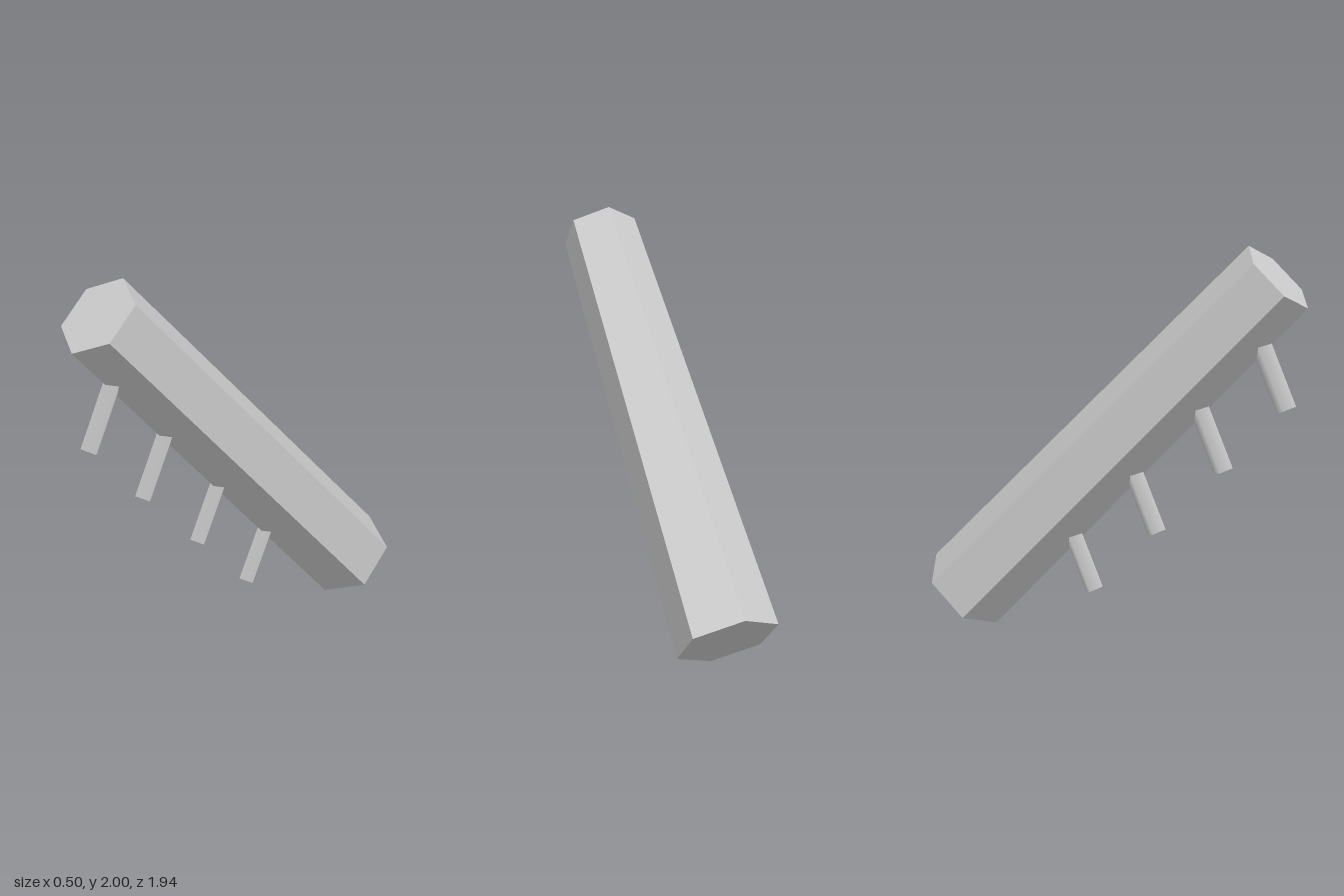
import * as THREE from 'three';

// Place a mesh so its length runs along `axis` and its first corner points toward `corner`.
function orient(mesh, axis, corner) {
  const y = axis.clone().normalize();
  const x = new THREE.Vector3().crossVectors(y, corner).normalize();
  const z = new THREE.Vector3().crossVectors(x, y);
  mesh.quaternion.setFromRotationMatrix(new THREE.Matrix4().makeBasis(x, y, z));
}

export function createModel() {
  const model = new THREE.Group();
  const grey = new THREE.MeshStandardMaterial({ color: 0xcccccc });
  grey.name = 'light grey';

  // Tapered six-sided beam with crisp faces, one ridge facing down and forward
  const low = new THREE.Vector3(-0.038, 0.175, -0.797);
  const high = new THREE.Vector3(0.076, 1.865, 0.832);
  const axis = high.clone().sub(low);
  const beamShape = new THREE.CylinderGeometry(0.197, 0.242, axis.length(), 6).toNonIndexed();
  beamShape.computeVertexNormals();
  const beam = new THREE.Mesh(beamShape, grey);
  beam.name = 'beam';
  beam.position.copy(low).add(high).multiplyScalar(0.5);
  orient(beam, axis, new THREE.Vector3(0.05, -0.687, 0.725));
  model.add(beam);

  // Four smooth-shaded, four-sided pegs sunk into the lower ridge
  const pegLength = 0.4;
  const pegShape = new THREE.CylinderGeometry(0.05, 0.05, pegLength, 4);
  const pegAxis = new THREE.Vector3(0.02, 0.91, -0.41).normalize();
  const pegEnds = [
    [0.06, 1.259, 0.895],
    [0.037, 0.943, 0.604],
    [0.011, 0.607, 0.275],
    [-0.013, 0.273, -0.053],
  ];
  pegEnds.forEach((end, i) => {
    const peg = new THREE.Mesh(pegShape, grey);
    peg.name = `peg${i + 1}`;
    peg.position.set(...end).addScaledVector(pegAxis, pegLength / 2);
    orient(peg, pegAxis, new THREE.Vector3(0, 0, 1));
    model.add(peg);
  });

  return model;
}
